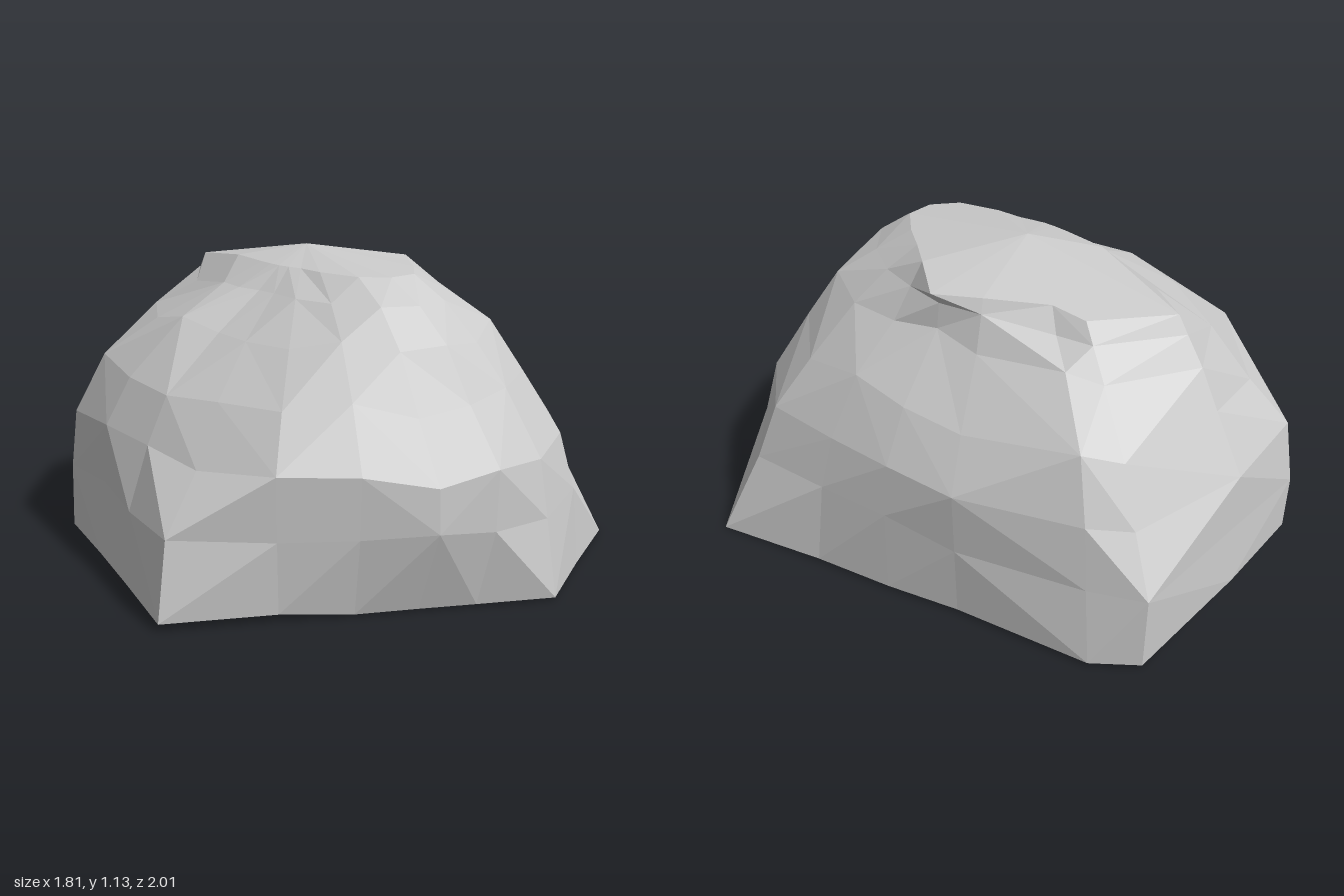
import * as THREE from 'three';

// Heights of the rings, from the ground to the rim of the summit
const LEVELS = [0, 0.3, 0.5, 0.7, 0.88, 1.0, 1.07];

// Rock profile by compass direction: angle from +x towards +z, then radius at each level
const PROFILES = [
  [0, 0.80, 0.79, 0.78, 0.67, 0.49, 0.47, 0.51],
  [20, 0.89, 0.86, 0.80, 0.69, 0.53, 0.46, 0.41],
  [39, 1.16, 1.00, 0.92, 0.78, 0.62, 0.49, 0.38],
  [58, 1.03, 1.00, 0.94, 0.80, 0.68, 0.53, 0.40],
  [76.5, 1.03, 0.98, 0.95, 0.82, 0.70, 0.57, 0.45],
  [90, 0.85, 0.92, 0.92, 0.80, 0.68, 0.56, 0.43],
  [103, 0.76, 0.86, 0.86, 0.73, 0.61, 0.50, 0.36],
  [120, 0.72, 0.77, 0.79, 0.67, 0.53, 0.38, 0.22],
  [140, 0.75, 0.77, 0.79, 0.65, 0.46, 0.29, 0.14],
  [163.5, 0.95, 0.89, 0.71, 0.58, 0.40, 0.22, 0.12],
  [185, 0.80, 0.77, 0.70, 0.61, 0.39, 0.21, 0.12],
  [207, 0.79, 0.76, 0.74, 0.66, 0.45, 0.25, 0.13],
  [228, 0.91, 0.91, 0.88, 0.75, 0.55, 0.30, 0.16],
  [256, 1.03, 1.03, 1.00, 0.85, 0.71, 0.50, 0.30],
  [278, 1.01, 1.01, 1.01, 0.90, 0.81, 0.75, 0.71],
  [303, 1.11, 1.12, 1.02, 0.91, 0.73, 0.64, 0.58],
  [312, 1.05, 1.01, 0.97, 0.89, 0.67, 0.54, 0.48],
  [340, 0.80, 0.82, 0.83, 0.72, 0.53, 0.48, 0.46],
];

// Small repeatable noise in the range -1..1
const noise = (a, b) => {
  const s = Math.sin(a * 127.1 + b * 311.7) * 43758.5453;
  return 2 * (s - Math.floor(s)) - 1;
};

function ringPoint(column, level) {
  const row = PROFILES[column];
  const angle = THREE.MathUtils.degToRad(row[0]);
  const chipped = level > 0 && level < 5;
  const r = row[level + 1] + (chipped ? 0.01 * noise(column, level) : 0);
  const x = r * Math.cos(angle), z = r * Math.sin(angle);
  let y = LEVELS[level] + (chipped ? 0.03 * noise(level, column + 7) : 0);
  if (level === 0) y = z < -0.95 ? 0.09 : x < -0.5 ? 0.03 : 0.01;
  // The rim slopes down to the back and towards the overhanging tip
  if (level === 5 && z < -0.3) y -= 0.04;
  if (level === 6) y += z < -0.4 ? -0.05 : z < -0.3 ? -0.03 : x > 0.4 ? -0.02 : 0.01;
  return new THREE.Vector3(x, y, z);
}

function rockGeometry() {
  const count = PROFILES.length;
  const rings = LEVELS.map((_, level) => PROFILES.map((_, column) => ringPoint(column, level)));
  const summit = new THREE.Vector3(0.08, 1.13, -0.08);
  const underside = new THREE.Vector3(0, 0.02, 0);
  rings[0][2].y = 0; // lowest foot
  const corners = [];
  for (let i = 0; i < count; i++) {
    const next = (i + 1) % count;
    // Sides, split along the diagonal that keeps the rock fuller
    for (let k = 0; k < rings.length - 1; k++) {
      const a = rings[k][i], b = rings[k][next];
      const c = rings[k + 1][i], d = rings[k + 1][next];
      const bc = b.clone().add(c).length(), ad = a.clone().add(d).length();
      if (bc > ad) corners.push(a, c, b, b, c, d);
      else corners.push(a, c, d, a, d, b);
    }
    // Cap and underside
    corners.push(rings[6][i], summit, rings[6][next]);
    corners.push(rings[0][i], rings[0][next], underside);
  }
  const geometry = new THREE.BufferGeometry().setFromPoints(corners);
  geometry.computeVertexNormals();
  return geometry;
}

export function createModel() {
  const group = new THREE.Group();
  group.name = 'boulder';
  const material = new THREE.MeshStandardMaterial({ color: 0xcccccc, flatShading: true });
  const rock = new THREE.Mesh(rockGeometry(), material);
  rock.name = 'rock';
  group.add(rock);
  return group;
}
